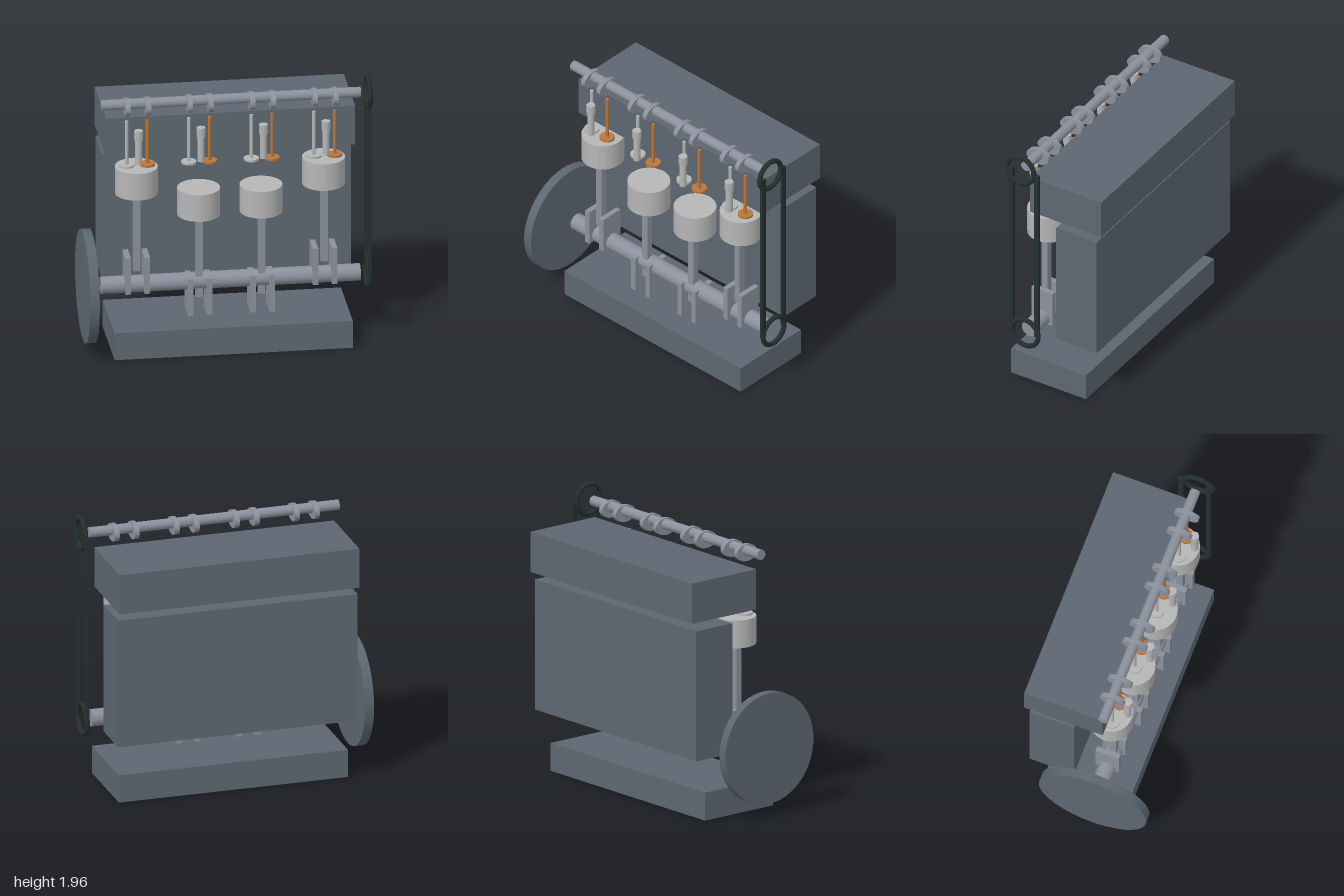
import * as THREE from 'three';

const material = (name, color) => {
  const m = new THREE.MeshStandardMaterial({ color });
  m.name = name;
  return m;
};

export function createModel() {
  const slate = material('slate', 0x5d6771);
  const steel = material('steel', 0x8b919d);
  const silver = material('silver', 0xb6b6b7);
  const copper = material('copper', 0xb8763c);
  const rubber = material('rubber', 0x24302e);

  const model = new THREE.Group();
  model.name = 'engine';

  const add = (parent, name, geometry, mat, x, y, z) => {
    const mesh = new THREE.Mesh(geometry, mat);
    mesh.name = name;
    mesh.position.set(x, y, z);
    parent.add(mesh);
    return mesh;
  };
  // Box given by its low and high corners
  const box = (parent, name, mat, [x0, y0, z0], [x1, y1, z1]) =>
    add(parent, name, new THREE.BoxGeometry(x1 - x0, y1 - y0, z1 - z0), mat,
      (x0 + x1) / 2, (y0 + y1) / 2, (z0 + z1) / 2);
  // Upright cylinder between two heights
  const post = (parent, name, mat, r, x, y0, y1, z, sides = 32) =>
    add(parent, name, new THREE.CylinderGeometry(r, r, y1 - y0, sides), mat, x, (y0 + y1) / 2, z);
  // Cylinder lying along x
  const axle = (parent, name, mat, r, x0, x1, y, z, sides = 32) =>
    add(parent, name, new THREE.CylinderGeometry(r, r, x1 - x0, sides).rotateZ(Math.PI / 2), mat,
      (x0 + x1) / 2, y, z);

  const crankY = 0.483, crankZ = 0.085;
  const camY = 1.835, camZ = 0.115;

  // Castings
  box(model, 'engineBlock', slate, [-0.84, 0.45, -0.44], [0.89, 1.38, -0.112]);
  box(model, 'cylinderHead', slate, [-0.84, 1.44, -0.478], [0.89, 1.728, 0.1]);
  box(model, 'oilPan', slate, [-0.805, 0, -0.33], [0.85, 0.2, 0.28]);

  // Rotating shafts and flywheel
  axle(model, 'flywheel', slate, 0.395, -1, -0.935, crankY, crankZ, 64);
  axle(model, 'crankshaft', steel, 0.06, -0.877, 0.925, crankY, crankZ);
  axle(model, 'camshaft', steel, 0.036, -0.877, 0.925, camY, camZ);

  // Four cylinders; the outer pair is up, the inner pair is down
  const lobe = new THREE.CylinderGeometry(1, 1, 0.034, 32).rotateZ(Math.PI / 2).scale(1, 0.06, 0.09);
  [-0.628, -0.195, 0.239, 0.673].forEach((x, i) => {
    const up = i === 0 || i === 3;
    const unit = new THREE.Group();
    unit.name = `cylinder${i + 1}`;
    model.add(unit);

    const pistonBase = up ? 1.16 : 0.978;
    post(unit, 'piston', silver, 0.148, x, pistonBase, pistonBase + 0.198, crankZ, 48);
    box(unit, 'connectingRod', steel,
      [x - 0.025, up ? 0.59 : 0.375, 0.078], [x + 0.025, pistonBase + 0.01, 0.126]);

    const webBase = up ? 0.437 : 0.256;
    for (const side of [-1, 1]) {
      const wx = x + side * 0.066;
      box(unit, 'crankWeb', steel,
        [wx - 0.019, webBase, crankZ - 0.086], [wx + 0.019, webBase + 0.268, crankZ + 0.086]);

      const vx = x + side * 0.072;
      const valveMat = side < 0 ? silver : copper;
      const valve = new THREE.Group();
      valve.name = side < 0 ? 'intakeValve' : 'exhaustValve';
      unit.add(valve);
      post(valve, 'valveStem', valveMat, 0.012, vx, 1.38, 1.71, 0.118, 16);
      post(valve, 'valveDisc', valveMat, 0.053, vx, 1.375, 1.39, 0.118);

      add(unit, 'camLobe', lobe, steel, vx, 1.816, 0.12);
    }

    // Spark plug with a hexagonal top
    post(unit, 'sparkPlugBody', silver, 0.025, x, 1.42, 1.605, 0.205, 16);
    const hex = post(unit, 'sparkPlugHex', silver, 0.033, x, 1.6, 1.67, 0.205, 6);
    hex.material = silver;
  });

  // Timing belt: two rings joined by straight runs
  const ring = new THREE.TorusGeometry(0.106, 0.018, 12, 48).rotateY(Math.PI / 2);
  add(model, 'camBeltRing', ring, rubber, 0.979, camY, 0.12);
  add(model, 'crankBeltRing', ring, rubber, 0.979, crankY, crankZ);
  for (const z of [-0.012, 0.193]) {
    box(model, 'beltRun', rubber, [0.968, crankY, z - 0.018], [0.99, camY, z + 0.018]);
  }

  return model;
}
